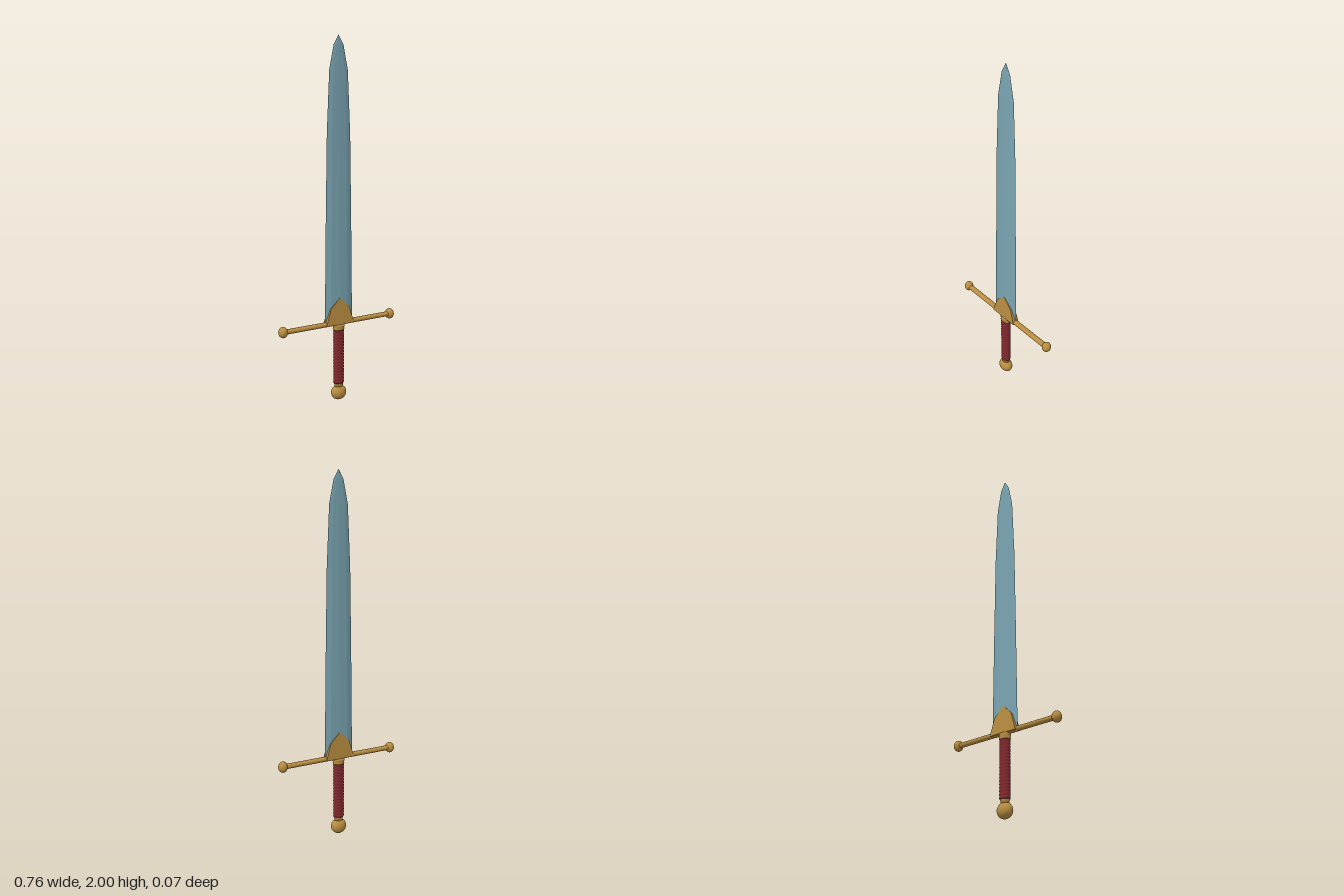
import * as THREE from 'three';

const mat = (name, color, flatShading = false) => {
  const m = new THREE.MeshStandardMaterial({ color, flatShading });
  m.name = name;
  return m;
};

export function createModel() {
  const sword = new THREE.Group();
  sword.name = 'sword';
  const steel = mat('blue steel', 0x7aa5b3, true);
  const gold = mat('gold', 0xb98d40);
  const leather = mat('red leather', 0x80282e);

  const add = (name, geometry, material, x = 0, y = 0, z = 0) => {
    const mesh = new THREE.Mesh(geometry, material);
    mesh.name = name;
    mesh.position.set(x, y, z);
    sword.add(mesh);
    return mesh;
  };

  // Blade: faceted lens section lofted up to the tip
  const section = [[1, 0], [0.6, -0.82], [0, -1], [-0.6, -0.82], [-1, 0], [-0.6, 0.82], [0, 1], [0.6, 0.82]];
  // height, half width, half thickness
  const rings = [[0.44, 0.09, 0.013], [1.0, 0.083, 0.01], [1.48, 0.075, 0.008],
    [1.82, 0.059, 0.006], [1.95, 0.031, 0.004], [2.0, 0.001, 0.0005]];
  const n = section.length;
  const positions = [];
  const index = [];
  for (const [y, w, t] of rings) for (const [sx, sz] of section) positions.push(sx * w, y, sz * t);
  for (let r = 0; r < rings.length - 1; r++) {
    for (let i = 0; i < n; i++) {
      const a = r * n + i, b = r * n + (i + 1) % n;
      index.push(a, b, b + n, a, b + n, a + n);
    }
  }
  const top = (rings.length - 1) * n;
  for (let i = 1; i < n - 1; i++) index.push(0, i + 1, i, top, top + i, top + i + 1);
  const blade = new THREE.BufferGeometry();
  blade.setAttribute('position', new THREE.Float32BufferAttribute(positions, 3));
  blade.setIndex(index);
  blade.computeVertexNormals();
  add('blade', blade, steel);

  // Pointed guard plate, thinning towards its peak
  const outline = new THREE.Shape([[-0.091, 0.436], [0.091, 0.436], [0.06, 0.53], [0, 0.585], [-0.06, 0.53]]
    .map(([x, y]) => new THREE.Vector2(x, y)));
  const plate = new THREE.ExtrudeGeometry(outline, { depth: 2, bevelEnabled: false });
  plate.translate(0, 0, -1);
  const p = plate.attributes.position;
  for (let i = 0; i < p.count; i++) {
    p.setZ(i, p.getZ(i) * THREE.MathUtils.mapLinear(p.getY(i), 0.436, 0.585, 0.02, 0.014));
  }
  plate.computeVertexNormals();
  add('guardPlate', plate, gold);

  // Crossguard with a knob at each end
  const bar = new THREE.CylinderGeometry(1, 1, 0.69, 16).rotateZ(Math.PI / 2).scale(1, 0.0135, 0.0165);
  add('crossguard', bar, gold, 0, 0.443);
  for (const [side, name] of [[1, 'leftKnob'], [-1, 'rightKnob']]) {
    add(name, new THREE.SphereGeometry(1, 24, 16).scale(0.025, 0.03, 0.027), gold, side * 0.353, 0.443);
  }

  // Oval turned parts, flattened in depth
  const turned = (name, points, material) => {
    const geometry = new THREE.LatheGeometry(points.map(([r, y]) => new THREE.Vector2(r, y)), 28);
    geometry.scale(1, 1, 0.78);
    add(name, geometry, material);
  };
  turned('collar', [[0, 0.403], [0.031, 0.403], [0.035, 0.409], [0.031, 0.416], [0.035, 0.422], [0.035, 0.436], [0, 0.436]], gold);
  turned('pommelNeck', [[0, 0.075], [0.025, 0.075], [0.025, 0.09], [0.028, 0.094], [0.028, 0.1], [0, 0.1]], gold);

  // Grip wrapped in cord rings
  const wrap = [[0, 0.097]];
  const turns = 18;
  for (let i = 0; i <= turns * 4; i++) {
    const bump = Math.abs(Math.sin(i * Math.PI / 4));
    wrap.push([0.0295 + 0.0025 * bump, 0.097 + 0.308 * i / (turns * 4)]);
  }
  wrap.push([0, 0.405]);
  turned('grip', wrap, leather);

  // Pommel
  add('pommel', new THREE.SphereGeometry(1, 28, 18).scale(0.046, 0.042, 0.035), gold, 0, 0.042);

  return sword;
}
